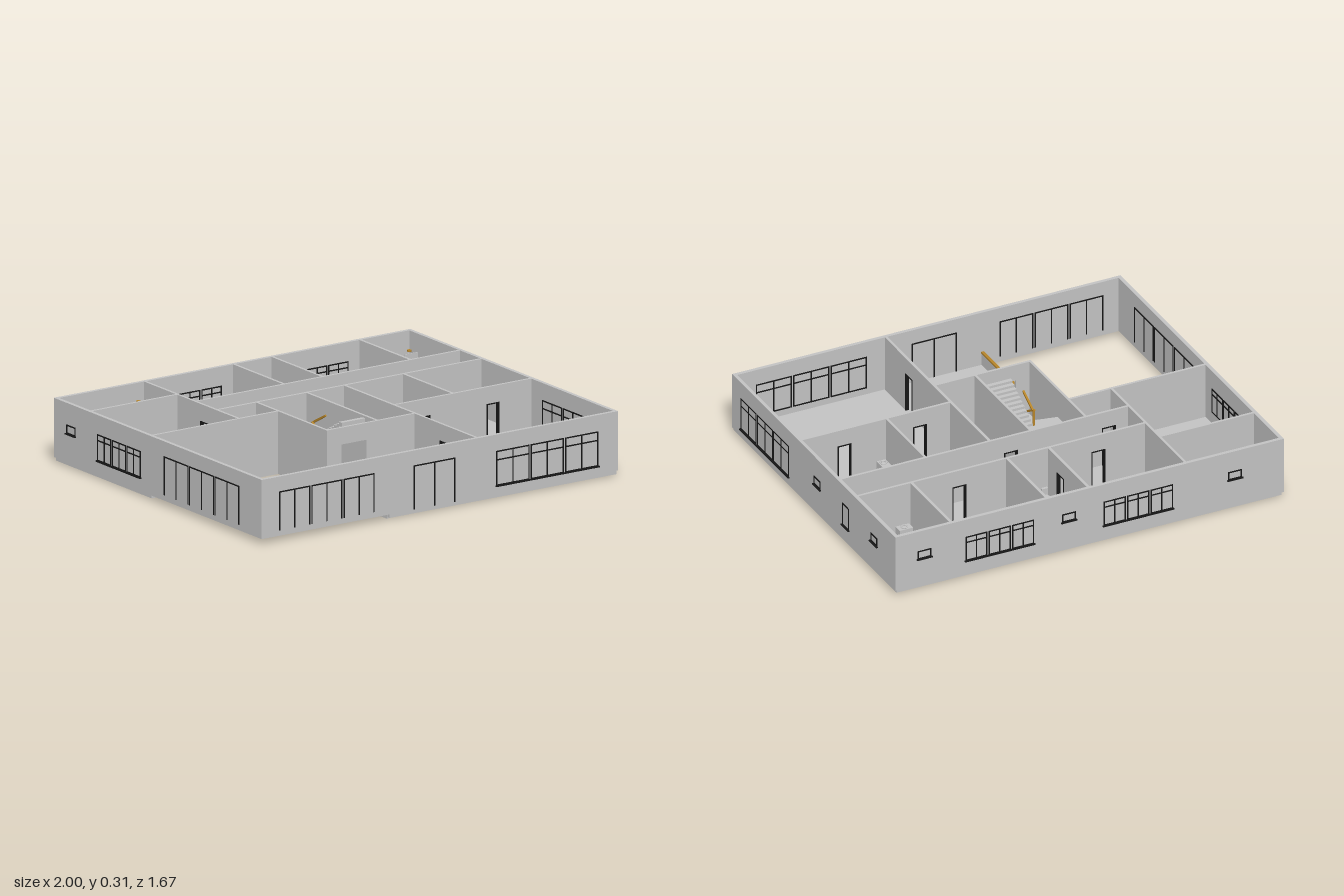
import * as THREE from 'three';

const mat = (name, color, extra = {}) => {
  const m = new THREE.MeshStandardMaterial({ color, ...extra });
  m.name = name;
  return m;
};

export function createModel() {
  const model = new THREE.Group();
  model.name = 'houseFloor';
  const plaster = mat('plasterGrey', 0xc3c3c3);
  const black = mat('frameBlack', 0x161616);
  const wood = mat('railWood', 0xb5842a);

  const FLOOR = 0.03, TOP = 0.305, T = 0.018, X = 0.983, Z = 0.819;

  const add = (name, geo, m, parent = model) => {
    const mesh = new THREE.Mesh(geo, m);
    mesh.name = name;
    parent.add(mesh);
    return mesh;
  };
  // Box given by its lower and upper limits
  const box = (name, x0, x1, y0, y1, z0, z1, m = plaster, parent = model) => {
    const mesh = add(name, new THREE.BoxGeometry(x1 - x0, y1 - y0, z1 - z0), m, parent);
    mesh.position.set((x0 + x1) / 2, (y0 + y1) / 2, (z0 + z1) / 2);
    return mesh;
  };
  // Box along a wall: axis 'x' or 'z', centred on c, running from a to b
  const along = (name, axis, c, a, b, y0, y1, t, m = plaster, parent = model) =>
    axis === 'x'
      ? box(name, a, b, y0, y1, c - t / 2, c + t / 2, m, parent)
      : box(name, c - t / 2, c + t / 2, y0, y1, a, b, m, parent);

  // Floor slab, leaving out the double-height void and the stairwell
  const pts = [[-0.984, -0.82], [0.984, -0.82], [0.984, 0.827], [-0.28, 0.827], [-0.28, -0.06], [-0.984, -0.06]];
  const slab = new THREE.Shape(pts.map(p => new THREE.Vector2(...p)));
  slab.holes.push(new THREE.Path(
    [[-0.268, -0.234], [-0.268, 0.235], [-0.003, 0.235], [-0.003, -0.234]].map(p => new THREE.Vector2(...p))));
  const slabGeo = new THREE.ExtrudeGeometry(slab, { depth: 0.023, bevelEnabled: false });
  slabGeo.rotateX(Math.PI / 2).translate(0, FLOOR, 0);
  add('floorSlab', slabGeo, plaster);

  // Outer walls
  for (const s of [-1, 1]) {
    along(s > 0 ? 'frontWall' : 'backWall', 'x', s * Z, -0.992, 0.992, 0.024, TOP, T);
    along(s > 0 ? 'leftWall' : 'rightWall', 'z', s * X, -Z + T / 2, Z - T / 2, 0.024, TOP, T);
  }

  // Inner walls: axis, position, start, end, door openings, framed or plain
  const PT = 0.013, DOOR = 0.225;
  const partition = (axis, c, a, b, doors = [], framed = true) => {
    const g = new THREE.Group();
    g.name = 'innerWall';
    model.add(g);
    let from = a;
    for (const [d0, d1] of doors) {
      along('wallPanel', axis, c, from, d0, FLOOR - 0.005, TOP, PT, plaster, g);
      along('lintel', axis, c, d0, d1, DOOR, TOP, PT, plaster, g);
      if (framed) {
        const f = 0.005, ft = PT + 0.006;
        along('doorJamb', axis, c, d0, d0 + f, FLOOR, DOOR, ft, black, g);
        along('doorJamb', axis, c, d1 - f, d1, FLOOR, DOOR, ft, black, g);
        along('doorHead', axis, c, d0, d1, DOOR - f, DOOR, ft, black, g);
      }
      from = d1;
    }
    along('wallPanel', axis, c, from, b, FLOOR - 0.005, TOP, PT, plaster, g);
  };
  partition('x', -0.553, -0.975, -0.495);
  partition('x', -0.412, -0.495, 0.975, [[-0.285, -0.215], [0.425, 0.495]]);
  partition('x', -0.241, -0.495, 0.975, [[-0.425, -0.355], [0.075, 0.145]]);
  partition('x', -0.064, -0.975, -0.275);
  partition('x', 0.155, 0.214, 0.975, [[0.34, 0.41], [0.725, 0.795]]);
  partition('x', 0.323, -0.281, 0.214, [[-0.2, -0.06]], false);
  partition('z', -0.495, -0.81, -0.064, [[-0.36, -0.29]]);
  partition('z', 0, -0.81, -0.412, [[-0.58, -0.51]]);
  partition('z', 0.214, -0.81, -0.412);
  partition('z', 0.703, -0.81, -0.412);
  partition('z', -0.275, -0.241, 0.323);
  partition('z', 0.005, -0.241, 0.323);
  partition('z', 0.214, -0.241, 0.81, [[0.53, 0.6]]);
  partition('z', 0.543, -0.241, 0.155);

  // Windows and glazed doors: bars framing each unit, visible from both sides
  const F = 0.006, FT = T + 0.005;
  const glazing = (name, axis, c, a, b, y0, y1, { units = 1, split = false, transom = 0, sill = false, base = true } = {}) => {
    const g = new THREE.Group();
    g.name = name;
    model.add(g);
    const gap = units > 1 ? 0.007 : 0, w = (b - a - gap * (units - 1)) / units;
    for (let i = 0; i < units; i++) {
      const u0 = a + i * (w + gap), u1 = u0 + w, mid = (u0 + u1) / 2;
      const bars = [u0 + F / 2, u1 - F / 2];
      if (split) bars.push(mid);
      for (const p of bars) along('upright', axis, c, p - F / 2, p + F / 2, y0, y1, FT, black, g);
      const rails = [y1 - F / 2];
      if (base) rails.push(y0 + F / 2);
      if (transom) rails.push(transom);
      for (const p of rails) along('crossBar', axis, c, u0, u1, p - F / 2, p + F / 2, FT, black, g);
    }
    if (sill) along('sill', axis, c + Math.sign(c) * 0.009, a - 0.005, b + 0.005, y0 - 0.004, y0 + 0.002, 0.016, black, g);
  };
  const big = { units: 3, split: true, transom: 0.185, sill: true };
  const small = { sill: true };
  glazing('frontPatioDoors', 'x', Z, -0.895, -0.365, 0.05, 0.235, { units: 3, split: true, base: false });
  glazing('frontDoubleDoor', 'x', Z, -0.147, 0.085, 0.025, 0.235, { split: true, base: false });
  glazing('frontWindow', 'x', Z, 0.313, 0.88, 0.062, 0.228, big);
  glazing('sideWindow', 'z', X, 0.25, 0.737, 0.062, 0.225, big);
  glazing('smallWindow', 'z', X, -0.07, -0.003, 0.16, 0.203, small);
  glazing('tallWindow', 'z', X, -0.355, -0.29, 0.095, 0.21, small);
  glazing('smallWindow', 'z', X, -0.643, -0.577, 0.16, 0.203, small);
  glazing('sidePatioDoors', 'z', -X, 0.05, 0.65, 0.05, 0.235, { units: 3, split: true, base: false });
  glazing('sideWindow', 'z', -X, -0.48, -0.135, 0.088, 0.215, big);
  glazing('smallWindow', 'z', -X, -0.725, -0.655, 0.16, 0.203, small);
  for (const [a, b] of [[-0.425, -0.07], [0.285, 0.635]]) glazing('backWindow', 'x', -Z, a, b, 0.088, 0.215, big);
  for (const x of [-0.742, 0.107, 0.845]) glazing('smallWindow', 'x', -Z, x - 0.035, x + 0.035, 0.16, 0.203, small);

  // Half-turn stair: two flights joined by a landing
  const stair = new THREE.Group();
  stair.name = 'stair';
  model.add(stair);
  const N = 11, RUN = 0.228 / N, MID = 0.165;
  for (let i = 0; i < N; i++) {
    const yA = FLOOR + (MID - FLOOR) * (i + 1) / N, zA = 0.235 - i * RUN;
    box('lowerStep', -0.268, -0.138, yA - 0.02, yA, zA - RUN, zA, plaster, stair);
    const yB = MID + (0.295 - MID) * (i + 1) / N, zB = 0.007 + i * RUN;
    box('upperStep', -0.132, -0.002, yB - 0.02, yB, zB, zB + RUN, plaster, stair);
  }
  box('landing', -0.268, -0.002, MID - 0.018, MID, -0.234, 0.007, plaster, stair);

  // Sloping handrails between the flights
  const rail = (x, y0, z0, y1, z1) => {
    const r = add('handrail', new THREE.BoxGeometry(0.009, 0.009, Math.hypot(y1 - y0, z1 - z0)), wood, stair);
    r.position.set(x, (y0 + y1) / 2, (z0 + z1) / 2);
    r.rotation.x = -Math.atan2(y1 - y0, z1 - z0);
  };
  rail(-0.139, 0.11, 0.235, 0.245, 0.008);
  rail(-0.131, 0.245, 0.008, 0.298, 0.105);
  box('handrailPost', -0.14, -0.13, MID, 0.245, 0.004, 0.012, wood, stair);

  // Parapet and wooden cap beside the void
  box('parapet', -0.283, -0.274, 0, 0.09, 0.325, 0.812);
  box('parapetCap', -0.286, -0.271, 0.09, 0.099, 0.325, 0.812, wood);

  // Bathroom fittings
  const vanity = (x, z, w, d, bowls) => {
    box('vanity', x - w / 2, x + w / 2, FLOOR, 0.095, z - d / 2, z + d / 2);
    for (const dz of bowls) {
      const bowl = add('basin', new THREE.TorusGeometry(0.014, 0.004, 8, 20), plaster);
      bowl.rotation.x = Math.PI / 2;
      bowl.position.set(x, 0.097, z + dz);
    }
  };
  vanity(-0.527, -0.6, 0.044, 0.068, [0]);
  vanity(0.182, -0.455, 0.044, 0.068, [0]);
  vanity(0.752, -0.44, 0.068, 0.044, [0]);
  vanity(0.575, 0.092, 0.046, 0.11, [-0.03, 0.03]);

  const toilet = (x, z, turn) => {
    const g = new THREE.Group();
    g.name = 'toilet';
    g.position.set(x, FLOOR, z);
    g.rotation.y = turn;
    model.add(g);
    box('cistern', -0.015, 0.015, 0, 0.075, -0.022, -0.008, plaster, g);
    const bowl = add('toiletBowl', new THREE.CylinderGeometry(0.014, 0.009, 0.042, 16), plaster, g);
    bowl.scale.z = 1.25;
    bowl.position.set(0, 0.021, 0.006);
  };
  toilet(-0.95, -0.79, 0);
  toilet(0.03, -0.443, Math.PI);
  toilet(0.945, -0.447, -Math.PI / 2);
  toilet(0.945, 0.12, -Math.PI / 2);

  // Oval bath
  const profile = [[0.001, 0], [0.045, 0], [0.062, 0.03], [0.07, 0.058], [0.064, 0.058], [0.055, 0.03], [0.04, 0.01], [0.001, 0.008]];
  const bath = add('bath', new THREE.LatheGeometry(profile.map(p => new THREE.Vector2(...p)), 32), plaster);
  bath.scale.z = 0.47;
  bath.position.set(0.902, FLOOR, -0.203);

  // Shower screen, shower heads and taps
  box('showerScreen', 0.895, 0.97, FLOOR, 0.22, -0.739, -0.735);
  for (const [x, z, y] of [[-0.543, -0.797, 0.22], [0.951, -0.777, 0.22], [0.168, -0.436, 0.108], [0.955, -0.203, 0.1]]) {
    const head = add('brassFitting', new THREE.CylinderGeometry(0.01, 0.01, 0.008, 16), wood);
    head.position.set(x, y, z);
  }
  box('mirrorFrame', -0.505, -0.501, 0.13, 0.2, -0.635, -0.565, wood);

  return model;
}
